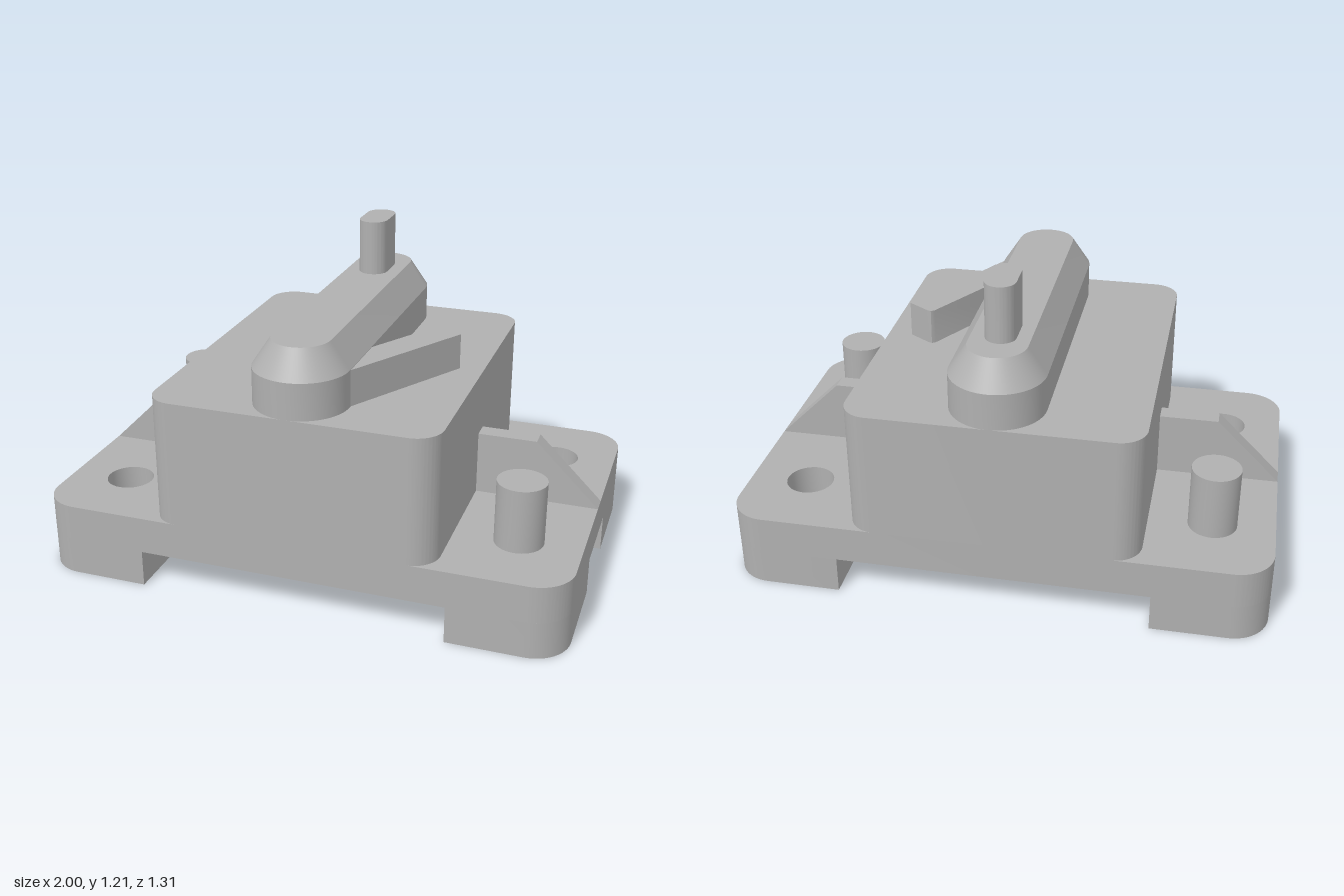
import * as THREE from 'three';
import { toCreasedNormals } from 'three/addons/utils/BufferGeometryUtils.js';

const W = 1, D = 0.655; // half width and half depth of the base
const HOLE_X = 0.77, HOLE_Z = 0.363, HOLE_R = 0.09;

// Plan outlines are drawn with shape x = x and shape y = -z.
function roundedRect(hw, hd, r) {
  const s = new THREE.Shape();
  s.absarc(hw - r, hd - r, r, 0, Math.PI / 2);
  s.absarc(-hw + r, hd - r, r, Math.PI / 2, Math.PI);
  s.absarc(-hw + r, -hd + r, r, Math.PI, Math.PI * 1.5);
  s.absarc(hw - r, -hd + r, r, Math.PI * 1.5, Math.PI * 2);
  s.closePath();
  return s;
}

function stadium(r, c) {
  const s = new THREE.Shape();
  s.absarc(0, c, r, 0, Math.PI);
  s.absarc(0, -c, r, Math.PI, Math.PI * 2);
  s.closePath();
  return s;
}

function drill(shape, x, z) {
  shape.holes.push(new THREE.Path().absarc(x, -z, HOLE_R, 0, Math.PI * 2, true));
}

// Extrude a plan outline upward from y0 to y1.
function slab(shape, y0, y1) {
  const g = new THREE.ExtrudeGeometry(shape, { depth: y1 - y0, bevelEnabled: false, curveSegments: 16 });
  return g.rotateX(-Math.PI / 2).translate(0, y0, 0);
}

export function createModel() {
  const model = new THREE.Group();
  model.name = 'latchHousing';
  const grey = new THREE.MeshStandardMaterial({ color: 0xb0b0b0 });
  grey.name = 'grey';

  const add = (name, geometry) => {
    const mesh = new THREE.Mesh(toCreasedNormals(geometry, 0.5), grey);
    mesh.name = name;
    model.add(mesh);
    return mesh;
  };

  // Base plate with two diagonal through holes
  const plate = roundedRect(W, D, 0.14);
  drill(plate, HOLE_X, -HOLE_Z);
  drill(plate, -HOLE_X, HOLE_Z);
  add('basePlate', slab(plate, 0.14, 0.28));

  // Corner feet, drilled where the plate is; pins stand on the other two
  for (const sx of [-1, 1]) for (const sz of [-1, 1]) {
    const pts = [[0.58, 0.17], [W, 0.17]];
    for (let i = 0; i <= 12; i++) {
      const a = (i / 12) * Math.PI / 2;
      pts.push([W - 0.14 + 0.14 * Math.cos(a), D - 0.14 + 0.14 * Math.sin(a)]);
    }
    pts.push([0.58, D]);
    const foot = new THREE.Shape(pts.map(([x, z]) => new THREE.Vector2(sx * x, -sz * z)));
    if (sx !== sz) drill(foot, sx * HOLE_X, sz * HOLE_Z);
    add('foot', slab(foot, 0, 0.14));
    if (sx === sz) {
      const pin = new THREE.CylinderGeometry(HOLE_R, HOLE_R, 0.24, 40);
      add('locatingPin', pin.translate(sx * HOLE_X, 0.4, sz * HOLE_Z));
    }
  }

  // Central block
  add('body', slab(roundedRect(0.535, D, 0.1), 0.28, 0.76));

  // Sloped ribs beside the block
  const rib = new THREE.Shape([[0.5, 0.28], [W, 0.28], [0.757, 0.52], [0.5, 0.52]]
    .map(p => new THREE.Vector2(...p)));
  for (const side of [0, 1]) {
    const g = new THREE.ExtrudeGeometry(rib, { depth: 0.07, bevelEnabled: false });
    g.translate(0, 0, -0.035).rotateY(side * Math.PI);
    add(side ? 'rightRib' : 'leftRib', g);
  }

  // Lever with a chamfered top: the upper outline shrinks toward its cap centres
  const r = 0.175, c = 0.48, k = 0.107 / r;
  add('leverBase', slab(stadium(r, c), 0.76, 0.897));
  const top = slab(stadium(r, c), 0.897, 1);
  const p = top.attributes.position;
  for (let i = 0; i < p.count; i++) {
    if (p.getY(i) < 0.95) continue;
    const cz = Math.sign(p.getZ(i)) * c;
    p.setX(i, p.getX(i) * k);
    p.setZ(i, cz + (p.getZ(i) - cz) * k);
  }
  top.computeVertexNormals();
  add('leverTop', top);

  // Upright handle at the rear of the lever
  add('handle', slab(stadium(0.056, 0.048), 1, 1.21).translate(0, 0, -0.377));

  // Angled pointer arm
  const arm = new THREE.Shape([[0.1, 0.6], [0.445, 0], [0.365, -0.052], [0.35, -0.057], [0.337, -0.048], [0.1, 0.363]]
    .map(([x, z]) => new THREE.Vector2(x, -z)));
  add('pointerArm', slab(arm, 0.76, 0.895));

  return model;
}
